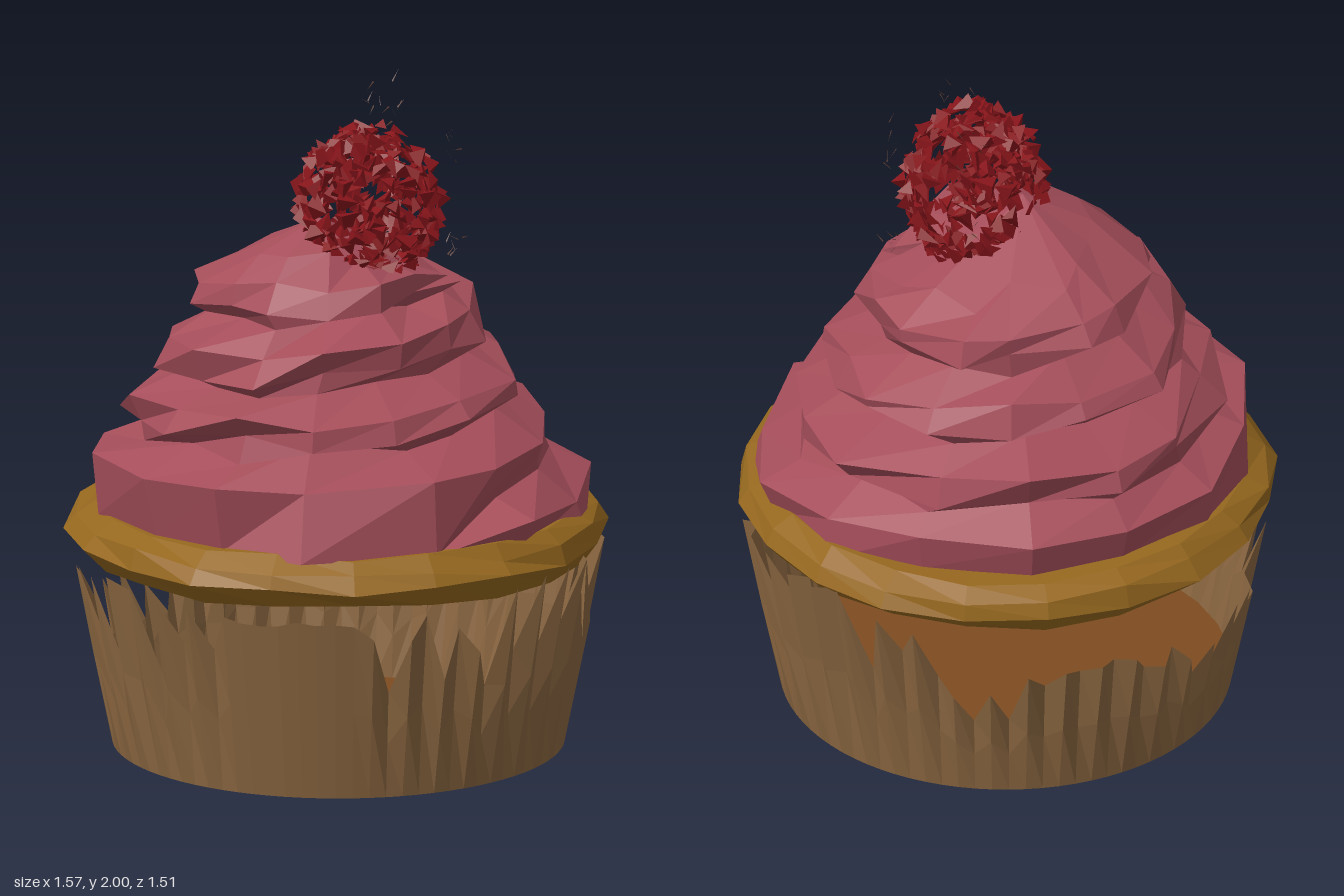
import * as THREE from 'three';

const material = (color) =>
  new THREE.MeshStandardMaterial({ color, flatShading: true, side: THREE.DoubleSide });

// Small seeded random source
function seeded(seed) {
  return () => {
    seed = (seed * 1664525 + 1013904223) % 4294967296;
    return seed / 4294967296;
  };
}

function meshFrom(name, points, index, color) {
  const geometry = new THREE.BufferGeometry();
  geometry.setAttribute('position', new THREE.Float32BufferAttribute(points, 3));
  geometry.setIndex(index);
  geometry.computeVertexNormals();
  const mesh = new THREE.Mesh(geometry, material(color));
  mesh.name = name;
  return mesh;
}

// Closed ring of columns; at(column, row) gives a point, rows run upward on the outside
function ringMesh(name, cols, rows, at, color) {
  const points = [], index = [];
  for (let i = 0; i < cols; i++) {
    for (let j = 0; j < rows; j++) points.push(...at(i, j));
  }
  for (let i = 0; i < cols; i++) {
    for (let j = 0; j < rows - 1; j++) {
      const a = i * rows + j, b = ((i + 1) % cols) * rows + j;
      index.push(a, a + 1, b + 1, a, b + 1, b);
    }
  }
  return meshFrom(name, points, index, color);
}

// Pleated paper wrapper with a torn upper edge and one nearly smooth panel in front
function createWrapper() {
  const rand = seeded(7);
  const cols = 84;
  const heights = [0.62, 0.63, 0.48, 0.6, 0.52, 0.36, 0.46, 0.6]; // every 45 degrees from +x
  const tops = [], flat = [];
  for (let i = 0; i < cols; i++) {
    const s = (i / cols) * 8, k = Math.floor(s);
    const h = THREE.MathUtils.lerp(heights[k], heights[(k + 1) % 8], s - k);
    flat.push(s > 1.95 && s < 2.7);
    const drop = rand() < (i % 2 ? 0.75 : 0.2) ? 0.06 + 0.25 * rand() : 0.06 * rand();
    tops.push(flat[i] ? 0.53 + 0.02 * rand() : Math.max(0.25, h + 0.02 - drop));
  }
  return ringMesh('wrapper', cols, 3, (i, j) => {
    const a = (i / cols) * Math.PI * 2;
    const y = (tops[i] * j) / 2;
    const pleat = flat[i] ? 0 : i % 2 ? -0.03 : 0.01;
    const r = 0.65 + 0.18 * y + pleat * Math.min(1, y * 2.5);
    return [r * Math.cos(a), y, r * Math.sin(a)];
  }, 0x8a6640);
}

// Cake rim: irregular ring with an open underside
function createCake() {
  const rand = seeded(21);
  const profile = [
    [0.45, 0.66], [0.66, 0.585], [0.72, 0.575], [0.78, 0.635], [0.755, 0.685], [0.7, 0.72], [0.4, 0.72],
  ];
  return ringMesh('cakeRim', 20, profile.length, (i, j) => {
    const a = (i / 20) * Math.PI * 2;
    const r = profile[j][0] + (rand() - 0.5) * 0.025;
    const y = profile[j][1] + (rand() - 0.5) * 0.022;
    return [r * Math.cos(a), y, r * 0.965 * Math.sin(a)];
  }, 0x96681f);
}

// Frosting: one rope coiling up from the front-left rim, each turn three rows high
function createFrosting() {
  const rand = seeded(5);
  const n = 14, count = Math.round(n * 4.1), pitch = 0.175;
  const points = [], index = [];
  const id = (k, m) => k * 3 + m;
  for (let k = 0; k <= count; k++) {
    const turn = k / n;
    const a = Math.PI / 4 - turn * Math.PI * 2 + (rand() - 0.5) * 0.15;
    const crest = 0.83 + pitch * turn;
    const tail = k < 4;
    for (let m = 0; m < 3; m++) {
      let y = crest - [0.14, 0.07, 0][m] + (rand() - 0.5) * 0.05;
      if (k < n && m === 0) y = tail ? 0.67 : 0.71;
      const body = Math.min(tail ? 0.73 : 0.69, 0.755 - 0.58 * (y - 0.7));
      const r = body + [-0.01, 0.025, -0.075][m] + (rand() - 0.5) * 0.08;
      const x = r * Math.cos(a) - 0.02, z = r * 0.97 * Math.sin(a) + 0.01;
      // The top slopes down towards the berry's side
      points.push(x, Math.min(y, 1.48 - 0.28 * x + 0.08 * z), z);
    }
  }
  for (let k = 0; k < count; k++) {
    for (let m = 0; m < 3; m++) {
      // The last row of a turn joins the first row of the turn above
      const up = (q) => (m < 2 ? id(q, m + 1) : id(q + n, 0));
      if (m === 2 && k + n + 1 > count) continue;
      const a = id(k, m), b = id(k + 1, m);
      index.push(a, b, up(k + 1), a, up(k + 1), up(k));
    }
  }
  // Blunt start of the rope
  const start = [id(0, 0), id(0, 1), id(0, 2), id(n, 0)];
  for (let s = 0; s < 3; s++) index.push(id(n - 1, 0), start[s], start[s + 1]);
  // Peak and underside
  const peak = points.length / 3;
  points.push(-0.06, 1.57, 0.06, 0, 0.69, 0);
  for (let k = count - n; k < count; k++) index.push(id(k, 2), id(k + 1, 2), peak);
  index.push(id(count, 2), id(count - n, 2), peak);
  for (let k = 0; k < n; k++) index.push(id(k, 0), peak + 1, id((k + 1) % n, 0));
  return meshFrom('frosting', points, index, 0xa54e5a);
}

// Berry on top: a loose shell of pointed flakes, with fine hairs around it
function createBerry() {
  const rand = seeded(11);
  const centre = new THREE.Vector3(0.08, 1.61, 0.075);
  const size = new THREE.Vector3(0.205, 0.24, 0.225);
  const randomDirection = () => {
    const y = rand() * 2 - 1, a = rand() * Math.PI * 2, r = Math.sqrt(1 - y * y);
    return new THREE.Vector3(r * Math.cos(a), y, r * Math.sin(a));
  };
  const onShell = (d, s) => d.clone().multiply(size).multiplyScalar(s).add(centre);

  const flakes = [], flakeIndex = [];
  for (let f = 0; f < 500; f++) {
    const d = randomDirection();
    // Hollow patch towards the back
    if (d.z < -0.35 && d.z > -0.8 && Math.abs(d.y) < 0.45) continue;
    const base = onShell(d, 0.75 + rand() * 0.23);
    // Lower half leans outwards over the front-left slope
    base.x += 0.12 * Math.max(0, 1.6 - base.y);
    const u = new THREE.Vector3().crossVectors(d, randomDirection()).normalize();
    const v = new THREE.Vector3().crossVectors(d, u);
    const first = flakes.length / 3;
    for (let c = 0; c < 3; c++) {
      const a = (c / 3) * Math.PI * 2 + rand(), r = 0.022 + rand() * 0.028;
      const p = base.clone().addScaledVector(u, r * Math.cos(a)).addScaledVector(v, r * Math.sin(a));
      flakes.push(p.x, p.y, p.z);
    }
    const tip = base.clone().addScaledVector(d, 0.012 + rand() * 0.03)
      .addScaledVector(u, (rand() - 0.5) * 0.04);
    flakes.push(tip.x, tip.y, tip.z);
    for (const t of [[0, 1, 3], [1, 2, 3], [2, 0, 3], [0, 2, 1]]) {
      flakeIndex.push(...t.map((q) => q + first));
    }
  }

  const hairs = [], hairIndex = [];
  const hairSides = [[0.15, 1, -0.05], [1, 0.5, 0], [1, -0.35, -0.1], [0.3, 0.2, -1], [0.2, 0.75, -0.6]];
  for (let h = 0; h < 30; h++) {
    const d = new THREE.Vector3(...hairSides[h % 5]).normalize()
      .addScaledVector(randomDirection(), 0.22).normalize();
    const p = onShell(d, 1.2 + rand() * 0.3);
    const q = p.clone().addScaledVector(randomDirection(), 0.035);
    p.y = Math.min(p.y, 1.98);
    q.y = Math.min(q.y, 2);
    if (h === 0) {
      p.set(0.15, 1.97, 0.05);
      q.set(0.17, 2, 0.04);
    }
    const first = hairs.length / 3;
    hairs.push(p.x, p.y, p.z, q.x, q.y, q.z, p.x + 0.003, p.y - 0.003, p.z + 0.003);
    hairIndex.push(first, first + 1, first + 2);
  }

  const berry = new THREE.Group();
  berry.name = 'berry';
  berry.add(meshFrom('berryFlakes', flakes, flakeIndex, 0x86141a));
  berry.add(meshFrom('berryHairs', hairs, hairIndex, 0x5a3a30));
  return berry;
}

export function createModel() {
  const model = new THREE.Group();
  model.name = 'cupcake';

  // Wrapper floor
  const floor = new THREE.Mesh(new THREE.CircleGeometry(0.65, 32), material(0x7e4c20));
  floor.name = 'wrapperFloor';
  floor.rotation.x = Math.PI / 2;
  floor.position.y = 0.005;

  model.add(floor, createWrapper(), createCake(), createFrosting(), createBerry());
  return model;
}
